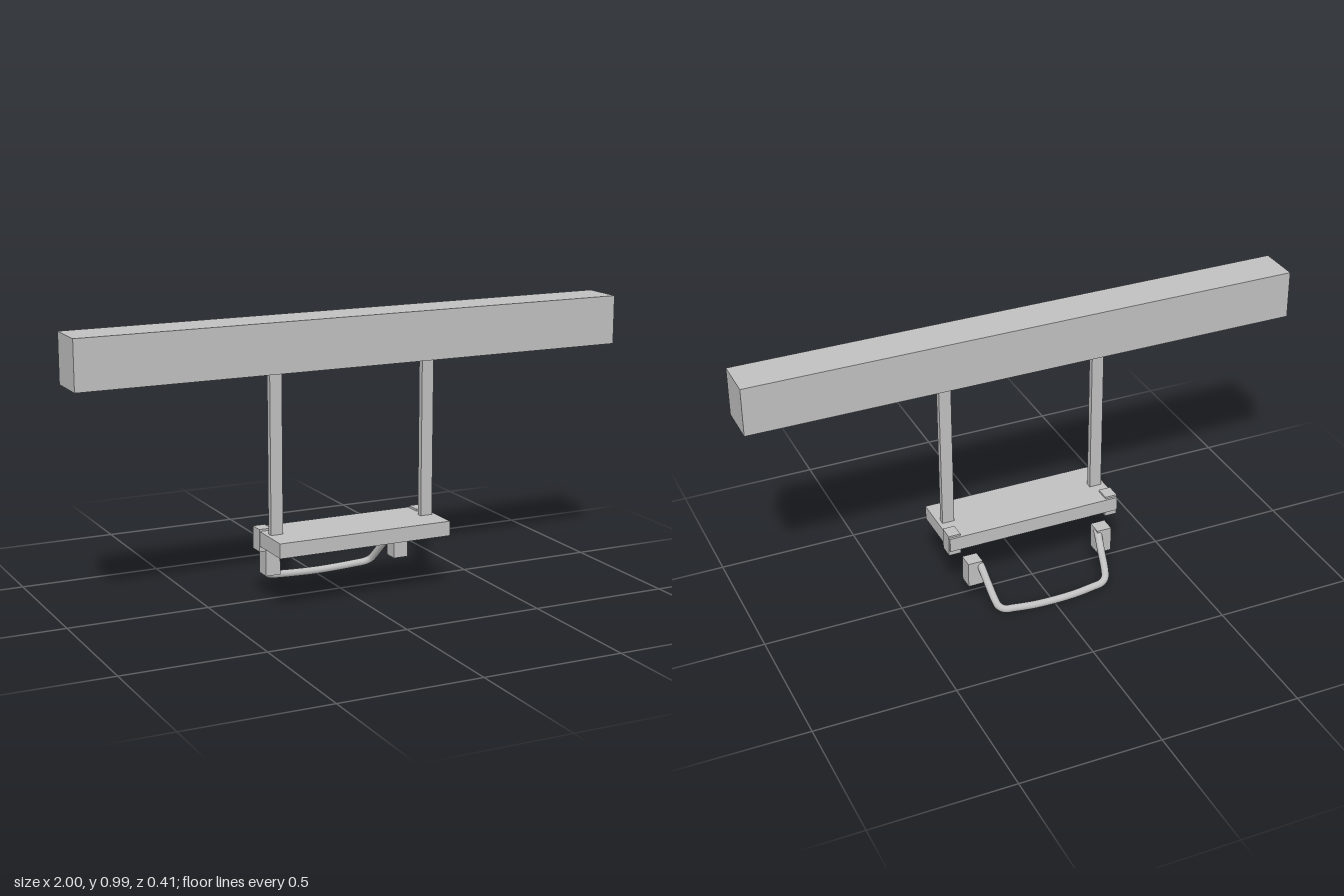
import * as THREE from 'three';

const grey = new THREE.MeshStandardMaterial({ color: 0xc0c0c0 });
grey.name = 'light grey';

// Box given by its min and max corners
function block(name, x0, x1, y0, y1, z0, z1) {
  const mesh = new THREE.Mesh(new THREE.BoxGeometry(x1 - x0, y1 - y0, z1 - z0), grey);
  mesh.position.set((x0 + x1) / 2, (y0 + y1) / 2, (z0 + z1) / 2);
  mesh.name = name;
  return mesh;
}

// The same box on both sides of x = 0
function pair(name, x0, x1, ...rest) {
  return [block(name + 'Left', x0, x1, ...rest), block(name + 'Right', -x1, -x0, ...rest)];
}

// Rounded pull handle: half the path is mirrored across x = 0
function handle() {
  const half = [
    [0.232, 0.156, -0.05], [0.228, 0.15, -0.066], [0.221, 0.105, -0.108],
    [0.213, 0.055, -0.155], [0.206, 0.036, -0.172], [0.188, 0.025, -0.182],
    [0.15, 0.021, -0.186], [0.08, 0.016, -0.191],
  ].map(p => new THREE.Vector3(...p));
  const mirrored = half.map(p => new THREE.Vector3(-p.x, p.y, p.z)).reverse();
  const path = new THREE.CatmullRomCurve3([...half, new THREE.Vector3(0, 0.014, -0.192), ...mirrored]);
  const group = new THREE.Group();
  group.name = 'pullHandle';
  const bar = new THREE.Mesh(new THREE.TubeGeometry(path, 96, 0.0135, 16), grey);
  bar.name = 'handleBar';
  group.add(bar);
  // Closed ends of the bar
  for (const t of [0, 1]) {
    const cap = new THREE.Mesh(new THREE.CircleGeometry(0.0135, 16), grey);
    const out = path.getTangentAt(t).multiplyScalar(t ? 1 : -1);
    cap.position.copy(path.getPointAt(t));
    cap.quaternion.setFromUnitVectors(new THREE.Vector3(0, 0, 1), out);
    cap.name = 'handleEnd';
    group.add(cap);
  }
  return group;
}

export function createModel() {
  const model = new THREE.Group();
  model.name = 'hangingTray';
  model.add(
    block('topBeam', -1, 1, 0.82, 0.992, 0.012, 0.165),
    ...pair('hangerPost', 0.264, 0.308, 0.25, 0.825, 0.078, 0.1),
    block('trayBoard', -0.322, 0.322, 0.204, 0.256, -0.025, 0.205),
    ...pair('trayClip', 0.28, 0.324, 0.184, 0.263, -0.017, 0.037),
    ...pair('handleMount', 0.222, 0.276, 0.075, 0.168, -0.074, -0.019),
    handle(),
  );
  return model;
}
